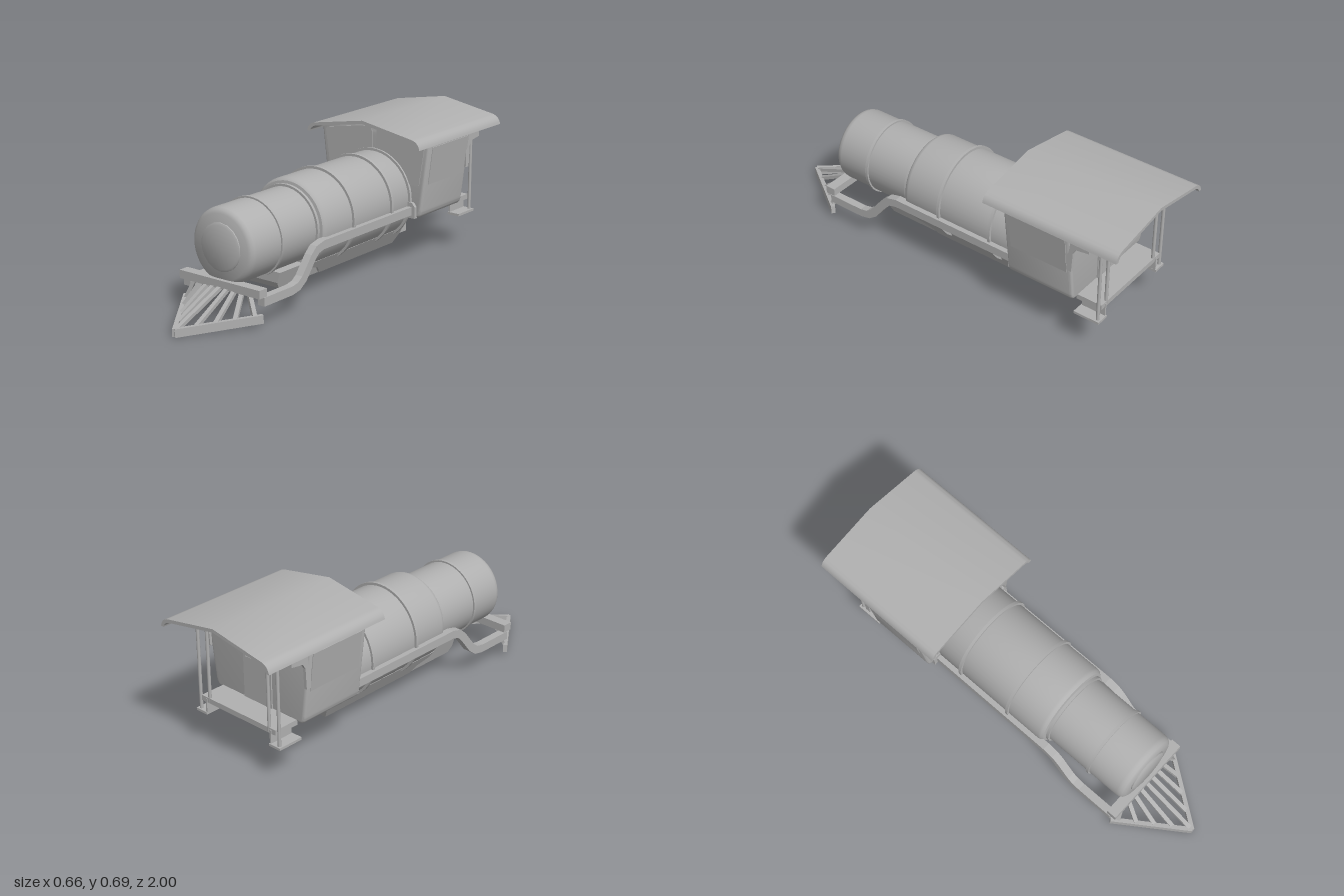
import * as THREE from 'three';
import { toCreasedNormals } from 'three/addons/utils/BufferGeometryUtils.js';

export function createModel() {
  const model = new THREE.Group();
  model.name = 'steamLocomotive';
  const grey = new THREE.MeshStandardMaterial({ color: 0xb0b0b0, side: THREE.DoubleSide });
  grey.name = 'plain grey';

  const add = (name, geo) => {
    const m = new THREE.Mesh(geo, grey);
    m.name = name;
    model.add(m);
    return m;
  };
  const box = (name, w, h, d, x, y, z) => {
    const m = add(name, new THREE.BoxGeometry(w, h, d));
    m.position.set(x, y, z);
    return m;
  };
  // Square bar between two points
  const bar = (name, a, b, w, h) => {
    const p = new THREE.Vector3(...a), q = new THREE.Vector3(...b);
    const m = add(name, new THREE.BoxGeometry(w, h, p.distanceTo(q)));
    m.position.copy(p).add(q).multiplyScalar(0.5);
    m.lookAt(q);
    return m;
  };
  const shapeOf = pts => new THREE.Shape(pts.map(p => new THREE.Vector2(...p)));
  const extrude = (shape, depth, opts = {}) =>
    new THREE.ExtrudeGeometry(shape, { depth, bevelEnabled: false, curveSegments: 8, ...opts });
  // Side profile given as [z, y], centred across x
  const sideExtrude = (pts, width, x = 0) =>
    extrude(shapeOf(pts), width).translate(0, 0, -width / 2).rotateY(-Math.PI / 2).translate(x, 0, 0);
  // Turned part along z, profile given as [radius, z]
  const axisY = 0.323;
  const turned = (name, pts, seg = 48) => {
    const g = new THREE.LatheGeometry(pts.map(p => new THREE.Vector2(...p)), seg);
    return add(name, toCreasedNormals(g.rotateX(Math.PI / 2).translate(0, axisY, 0), 0.6));
  };

  // Boiler, smokebox and tapered rear end
  turned('boiler', [[0, -0.73], [0.1, -0.73], [0.175, -0.64], [0.18, -0.5], [0.21, -0.42],
    [0.21, 0.215], [0.207, 0.228], [0.198, 0.238], [0.175, 0.242]]);
  turned('smokebox', [[0.175, 0.2], [0.175, 0.655], [0.172, 0.67], [0.164, 0.682], [0.15, 0.69], [0, 0.69]]);
  turned('smokeboxDoor', [[0.11, 0.685], [0.11, 0.695], [0.1, 0.7], [0, 0.7]], 18);

  // Boiler bands
  for (const [r, z] of [[0.183, 0.49], [0.186, 0.25], [0.222, 0.03], [0.222, -0.26], [0.222, -0.405]])
    turned('boilerBand', [[r - 0.02, z - 0.007], [r, z - 0.007], [r, z + 0.007], [r - 0.02, z + 0.007]]);

  // Under-frame trays, narrowing towards the bottom
  const tray = (name, pts, low, high) => {
    const g = sideExtrude(pts, 2), p = g.attributes.position;
    for (let i = 0; i < p.count; i++) {
      const t = (p.getY(i) - 0.08) / 0.08;
      p.setX(i, p.getX(i) * (low + (high - low) * t));
    }
    g.computeVertexNormals();
    add(name, g);
  };
  tray('frontTray', [[0.43, 0.16], [0.43, 0.11], [0.41, 0.08], [0.1, 0.08], [0.1, 0.16]], 0.085, 0.11);
  tray('mainTray', [[0.25, 0.16], [0.23, 0.135], [0.16, 0.115], [0.13, 0.08], [-0.44, 0.08],
    [-0.46, 0.13], [-0.46, 0.16]], 0.09, 0.135);
  box('rearFrame', 0.2, 0.07, 0.18, 0, 0.155, -0.45);

  // Cab body with rounded edges
  const b = 0.012;
  const cabShape = new THREE.Shape();
  cabShape.moveTo(0, 0.24 + b);
  cabShape.lineTo(0.245, 0.24 + b);
  cabShape.quadraticCurveTo(0.262, 0.24 + b, 0.265, 0.285);
  cabShape.lineTo(0.304, 0.6);
  cabShape.quadraticCurveTo(0.304, 0.62, 0.28, 0.626);
  cabShape.lineTo(0, 0.672);
  cabShape.lineTo(-0.28, 0.626);
  cabShape.quadraticCurveTo(-0.304, 0.62, -0.304, 0.6);
  cabShape.lineTo(-0.265, 0.285);
  cabShape.quadraticCurveTo(-0.262, 0.24 + b, -0.245, 0.24 + b);
  const cab = extrude(cabShape, 0.32, {
    bevelEnabled: true, bevelSize: b, bevelThickness: b, bevelSegments: 3,
  }).translate(0, 0, -0.743);
  add('cab', toCreasedNormals(cab, 0.6));

  // Curved roof with drooping eaves
  const roof = new THREE.Shape();
  roof.moveTo(0, 0.695);
  roof.lineTo(-0.285, 0.645);
  roof.quadraticCurveTo(-0.323, 0.637, -0.33, 0.6);
  roof.lineTo(-0.313, 0.6);
  roof.quadraticCurveTo(-0.308, 0.622, -0.28, 0.63);
  roof.lineTo(0, 0.679);
  roof.lineTo(0.28, 0.63);
  roof.quadraticCurveTo(0.308, 0.622, 0.313, 0.6);
  roof.lineTo(0.33, 0.6);
  roof.quadraticCurveTo(0.323, 0.637, 0.285, 0.645);
  add('roof', toCreasedNormals(extrude(roof, 0.69).translate(0, 0, -1), 0.5));

  // Rear door and its framed window
  box('rearDoor', 0.17, 0.36, 0.008, 0, 0.43, -0.757);
  box('rearDoorWindow', 0.12, 0.12, 0.006, 0, 0.52, -0.764);
  for (const s of [-1, 1]) {
    box('rearWindowFrame', 0.01, 0.14, 0.009, s * 0.065, 0.52, -0.765);
    box('rearWindowFrame', 0.14, 0.01, 0.009, 0, 0.52 + s * 0.065, -0.765);
  }

  // Rear deck
  box('rearDeck', 0.46, 0.025, 0.13, 0, 0.24, -0.815);

  // Centre line of the side rail as [z, y]
  const rail = [[-0.41, 0.275], [0.27, 0.275], [0.315, 0.264], [0.345, 0.237],
    [0.41, 0.155], [0.445, 0.13], [0.49, 0.121], [0.68, 0.121]];
  const railSide = d => rail.map(([z, y], i) => {
    const p = rail[Math.max(i - 1, 0)], q = rail[Math.min(i + 1, rail.length - 1)];
    const l = Math.hypot(q[0] - p[0], q[1] - p[1]);
    return [z - d * (q[1] - p[1]) / l, y + d * (q[0] - p[0]) / l];
  });
  const railOutline = [...railSide(0.02), ...railSide(-0.02).reverse()];

  for (const s of [-1, 1]) {
    add('sideRail', sideExtrude(railOutline, 0.038, s * 0.214));

    // Bracket where the rail meets the cab
    const bracket = shapeOf([[0.18, 0.24], [0.25, 0.24], [0.25, 0.295], [0.235, 0.315], [0.2, 0.318], [0.18, 0.3]]
      .map(([x, y]) => [x * s, y]));
    add('railBracket', extrude(bracket, 0.02).translate(0, 0, -0.415));

    // Windows
    const pane = shapeOf([[0.262, 0.4], [0.291, 0.595], [0.283, 0.607], [0.028, 0.651],
      [0.015, 0.645], [0.01, 0.53], [0.01, 0.4]].map(([x, y]) => [x * s, y]));
    add('frontWindow', extrude(pane, 0.005).translate(0, 0, -0.412));
    const side = box('sideWindow', 0.006, 0.185, 0.295, s * 0.3035, 0.498, -0.587);
    side.rotation.z = -s * 0.123;

    // Curved rear extension of the cab side under the roof
    add('roofBracket', sideExtrude([[-0.74, 0.61], [-0.74, 0.43], [-0.765, 0.43], [-0.77, 0.53],
      [-0.785, 0.555], [-0.85, 0.565], [-0.85, 0.61]], 0.015, s * 0.298));

    // Steps and roof posts
    box('step', 0.065, 0.012, 0.13, s * 0.228, 0.175, -0.823);
    box('stepRiser', 0.008, 0.07, 0.12, s * 0.2, 0.21, -0.823);
    for (const [x, y0] of [[0.244, 0.175], [0.185, 0.23]]) {
      const h = 0.64 - y0;
      const post = add('roofPost', new THREE.CylinderGeometry(0.008, 0.008, h, 12));
      post.position.set(s * x, y0 + h / 2, -0.873);
    }

    // Pilot base, one side of the V
    bar('pilotBase', [0, 0.02, 0.992], [s * 0.224, 0.045, 0.68], 0.02, 0.038);
  }

  // Front beam
  box('bufferBeam', 0.46, 0.038, 0.05, 0, 0.16, 0.685);

  // Pilot slats fanning out from the beam to the V
  for (let i = -4; i <= 4; i++) {
    const t = Math.abs(i) / 4;
    bar('pilotSlat', [i * 0.039, 0.148, 0.69],
      [i * 0.05, 0.03 + 0.022 * t, 0.982 - 0.275 * t], 0.02, 0.016);
  }
  return model;
}
